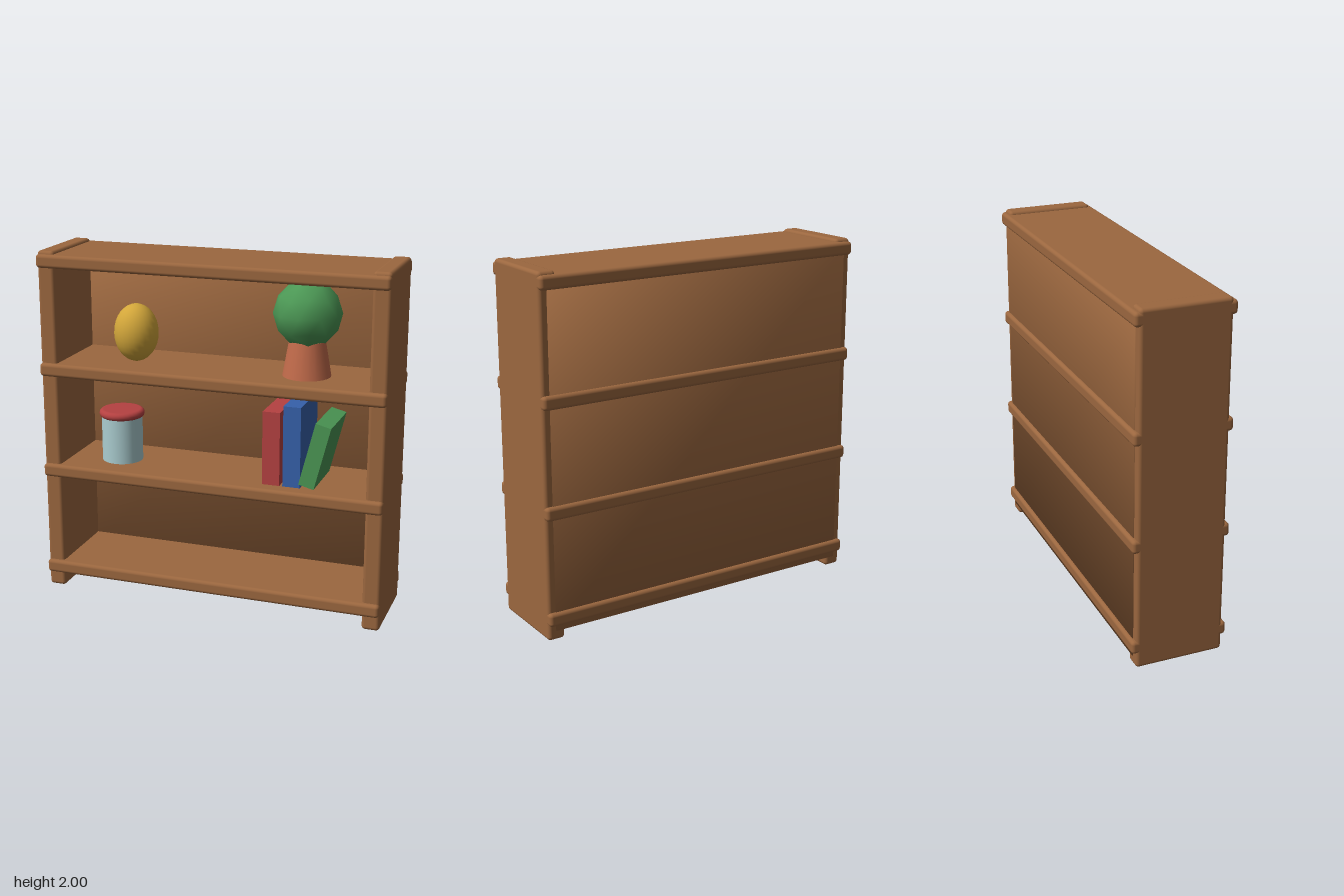
import * as THREE from 'three';
import { RoundedBoxGeometry } from 'three/addons/geometries/RoundedBoxGeometry.js';

function material(name, color) {
  const m = new THREE.MeshStandardMaterial({ color });
  m.name = name;
  return m;
}

export function createModel() {
  const root = new THREE.Group();
  root.name = 'bookcase';

  const wood = material('wood', 0x9b673f);
  const red = material('red', 0xb54141);
  const blue = material('blue', 0x3661aa);
  const green = material('green', 0x4c9855);
  const gold = material('gold', 0xd2a63a);
  const clay = material('clay', 0xc06a4a);
  const glass = material('pale glass', 0xabcdd0);

  const add = (name, geometry, mat, x, y, z, parent = root) => {
    const mesh = new THREE.Mesh(geometry, mat);
    mesh.name = name;
    mesh.position.set(x, y, z);
    parent.add(mesh);
    return mesh;
  };

  // Side panels
  for (const [name, side] of [['leftSide', 1], ['rightSide', -1]]) {
    add(name, new RoundedBoxGeometry(0.1, 2, 0.5, 3, 0.02), wood, side * 0.95, 1, 0);
  }

  // Shelves overhang the sides at front and back
  [0.125, 0.725, 1.325, 1.945].forEach((y, i) => {
    add('shelf' + (i + 1), new RoundedBoxGeometry(2, 0.076, 0.55, 3, 0.02), wood, 0, y, 0);
  });

  // Back panel with soft corner normals
  const back = new THREE.BoxGeometry(1.91, 1.89, 0.02);
  const pos = back.attributes.position;
  const normal = new THREE.Vector3();
  for (let i = 0; i < pos.count; i++) {
    normal.set(Math.sign(pos.getX(i)), Math.sign(pos.getY(i)), Math.sign(pos.getZ(i))).normalize();
    back.attributes.normal.setXYZ(i, normal.x, normal.y, normal.z);
  }
  add('backPanel', back, wood, 0, 1, -0.245);

  const z = 0.025;

  // Egg ornament on the upper shelf
  const egg = new THREE.SphereGeometry(1, 24, 16);
  egg.scale(0.127, 0.165, 0.127);
  add('eggOrnament', egg, gold, -0.505, 1.527, z);

  // Potted plant
  const plant = new THREE.Group();
  plant.name = 'pottedPlant';
  plant.position.set(0.5, 1.36, z);
  root.add(plant);
  add('pot', new THREE.CylinderGeometry(0.1, 0.135, 0.2, 20), clay, 0, 0.1, 0, plant);
  const leaves = new THREE.IcosahedronGeometry(0.19, 1);
  leaves.rotateZ(Math.PI / 2 - Math.atan2(1 + Math.sqrt(5), 2)); // one corner straight up
  add('foliage', leaves, green, 0, 0.35, 0, plant);

  // Jar with a rounded lid
  const jar = new THREE.Group();
  jar.name = 'jar';
  jar.position.set(-0.605, 0.762, z);
  root.add(jar);
  add('jarBody', new THREE.CylinderGeometry(0.118, 0.118, 0.27, 28), glass, 0, 0.135, 0, jar);
  const lidProfile = [new THREE.Vector2(0, -0.024)];
  for (let i = 0; i <= 8; i++) {
    const a = -Math.PI / 2 + (i / 8) * Math.PI;
    lidProfile.push(new THREE.Vector2(0.107 + 0.024 * Math.cos(a), 0.024 * Math.sin(a)));
  }
  lidProfile.push(new THREE.Vector2(0, 0.024));
  add('jarLid', new THREE.LatheGeometry(lidProfile, 28), red, 0, 0.282, 0, jar);

  // Books, the last one leaning
  const books = [
    ['redBook', red, 0.1, 0.42, 0.35, 0.973, 0],
    ['blueBook', blue, 0.1, 0.46, 0.468, 0.993, 0],
    ['greenBook', green, 0.09, 0.37, 0.598, 0.953, -0.25],
  ];
  for (const [name, mat, w, h, x, y, lean] of books) {
    const book = add(name, new THREE.BoxGeometry(w, h, 0.34), mat, x, y, 0.02);
    book.rotation.z = lean;
  }

  return root;
}
